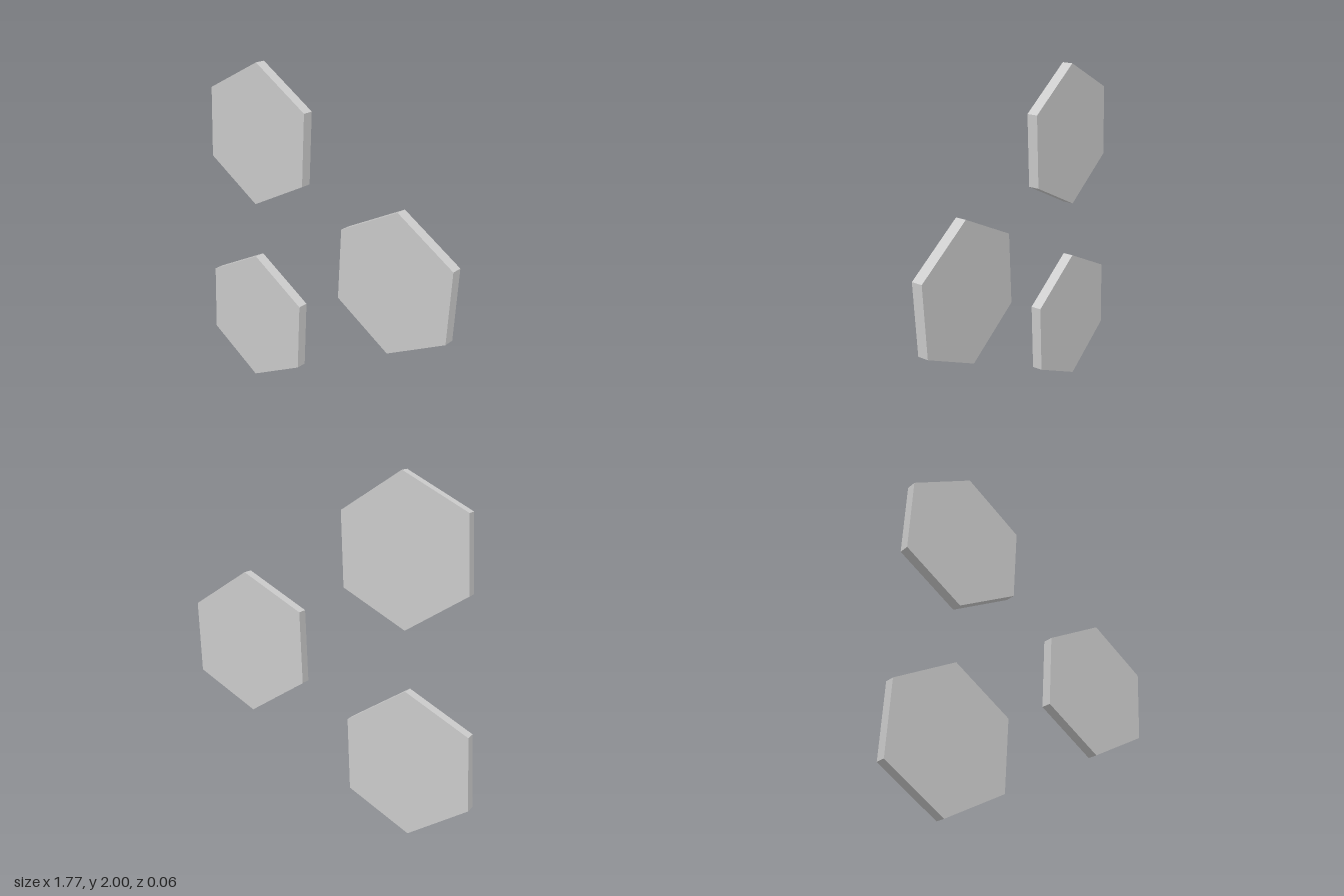
import * as THREE from 'three';

const RADIUS = 0.416;
const THICKNESS = 0.062;
const TILT = THREE.MathUtils.degToRad(-2.6);

export function createModel() {
  const group = new THREE.Group();
  group.name = 'hexagonPanels';
  const material = new THREE.MeshStandardMaterial({ color: 0xcccccc, flatShading: true });

  // Upright hexagonal plate, pointed at top and bottom, leaning slightly clockwise
  const plate = new THREE.CylinderGeometry(RADIUS, RADIUS, THICKNESS, 6);
  plate.rotateX(Math.PI / 2);
  plate.rotateZ(TILT);

  // Three separate panels: two stacked on one side, one midway on the other
  const panels = [
    ['upperRightPanel', -0.469, 1.584],
    ['middleLeftPanel', 0.515, 0.961],
    ['lowerRightPanel', -0.518, 0.416],
  ];
  for (const [name, x, y] of panels) {
    const panel = new THREE.Mesh(plate, material);
    panel.name = name;
    panel.position.set(x, y, 0);
    group.add(panel);
  }
  return group;
}
